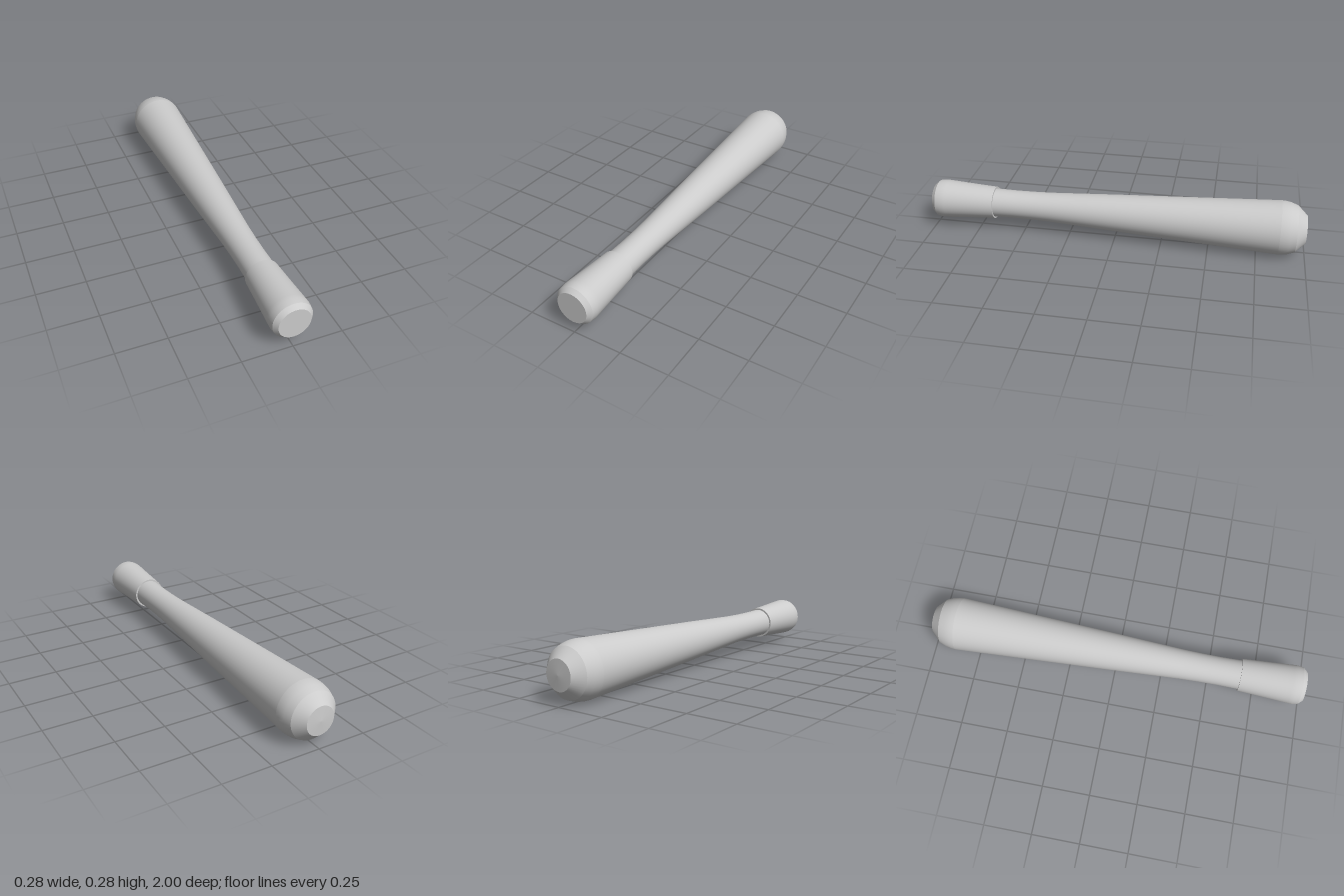
import * as THREE from 'three';

const AXIS_Y = 0.141;
const SEGMENTS = 48;

// Revolved section; each profile point is [radius, z], ordered from back to front
function turned(name, profile, material) {
  const points = profile.map(([r, z]) => new THREE.Vector2(r, z));
  const geometry = new THREE.LatheGeometry(points, SEGMENTS);
  geometry.rotateX(Math.PI / 2);
  const mesh = new THREE.Mesh(geometry, material);
  mesh.name = name;
  return mesh;
}

export function createModel() {
  const material = new THREE.MeshStandardMaterial({ color: 0xcccccc });
  const model = new THREE.Group();
  model.name = 'club';

  // Thick rounded end: flat face, bevel, rounded shoulder, sharp between sections
  const barrel = new THREE.Group();
  barrel.name = 'barrel';
  barrel.add(
    turned('barrelFace', [[0, -1], [0.074, -0.995]], material),
    turned('barrelBevel', [[0.074, -0.995], [0.122, -0.945]], material),
    turned('barrelShoulder', [[0.122, -0.945], [0.135, -0.91], [0.14, -0.88], [0.141, -0.86]], material),
    // Long taper down to the neck, running into the grip
    turned('shaft', [
      [0.141, -0.86], [0.128, -0.6], [0.113, -0.3], [0.098, 0], [0.087, 0.2],
      [0.079, 0.35], [0.076, 0.45], [0.075, 0.55], [0.077, 0.67],
    ], material),
  );
  model.add(barrel);

  // Flared grip with a small step where it meets the neck
  const grip = new THREE.Group();
  grip.name = 'grip';
  grip.add(
    turned('gripStep', [[0.07, 0.66], [0.086, 0.66]], material),
    turned('gripSleeve', [[0.086, 0.66], [0.094, 0.8], [0.102, 0.925], [0.103, 0.95], [0.099, 0.978]], material),
    turned('gripBevel', [[0.099, 0.978], [0.08, 1]], material),
    turned('gripFace', [[0.08, 1], [0, 1]], material),
  );
  model.add(grip);

  barrel.position.y = AXIS_Y;
  grip.position.y = AXIS_Y;
  return model;
}
